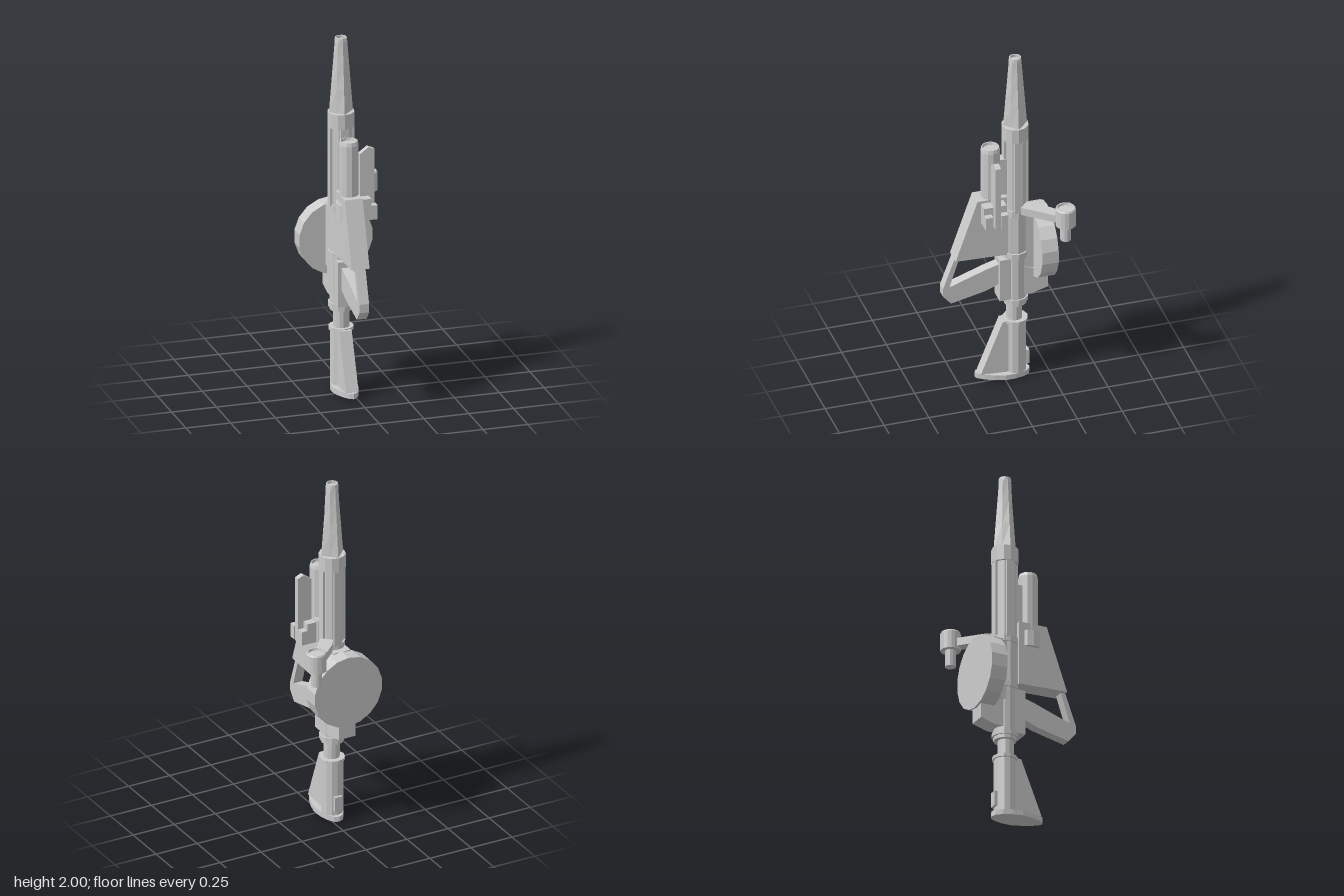
import * as THREE from 'three';

const grey = new THREE.MeshStandardMaterial({ color: 0xcccccc, flatShading: true, side: THREE.DoubleSide });
const CX = -0.033; // shared centre plane
const BZ = -0.07;  // barrel axis
const SZ = 0.068;  // scope axis

export function createModel() {
  const model = new THREE.Group();
  const add = (name, geo, x = 0, y = 0, z = 0) => {
    const mesh = new THREE.Mesh(geo, grey);
    mesh.name = name;
    mesh.position.set(x, y, z);
    model.add(mesh);
    return mesh;
  };
  const box = (name, x0, x1, y0, y1, z0, z1) =>
    add(name, new THREE.BoxGeometry(x1 - x0, y1 - y0, z1 - z0), (x0 + x1) / 2, (y0 + y1) / 2, (z0 + z1) / 2);
  const tube = (name, y0, y1, r, z = BZ, n = 12, x = CX) =>
    add(name, new THREE.CylinderGeometry(r, r, y1 - y0, n), x, (y0 + y1) / 2, z);
  const lathe = (name, pts, n, x, z) =>
    add(name, new THREE.LatheGeometry(pts.map(p => new THREE.Vector2(...p)), n), x, 0, z);
  // Side plate: outline given as (z, y), with its thickness along x
  const plate = (name, pts, width, x = CX) => {
    const shape = new THREE.Shape(pts.map(p => new THREE.Vector2(...p)));
    const geo = new THREE.ExtrudeGeometry(shape, { depth: width, bevelEnabled: false });
    geo.translate(0, 0, -width / 2).rotateY(-Math.PI / 2);
    return add(name, geo, x);
  };

  // Muzzle: diamond base blending to an octagonal tip
  const cone = new THREE.CylinderGeometry(0.035, 0.067, 0.4, 8, 3, true);
  const p = cone.attributes.position;
  for (let i = 0; i < p.count; i++) {
    const x = p.getX(i), z = p.getZ(i);
    const t = 0.5 - p.getY(i) / 0.4;
    const diagonal = Math.abs(Math.abs(x) - Math.abs(z)) < 0.01;
    const s = diagonal ? 1 - 0.28 * t : 1;
    p.setX(i, x * s);
    p.setZ(i, z * s);
  }
  add('muzzle', cone, CX, 1.78, BZ);
  lathe('muzzleTip', [[0.035, 1.98], [0.032, 2], [0.026, 2], [0.026, 1.985], [0, 1.985]], 12, CX, BZ);

  // Barrel with raised ribs and collars
  tube('barrel', 1.04, 1.5, 0.061);
  for (let i = 0; i < 4; i++) {
    const a = i * Math.PI / 2;
    const rib = add('barrelRib', new THREE.BoxGeometry(0.045, 0.45, 0.03),
      CX + Math.sin(a) * 0.053, 1.275, BZ + Math.cos(a) * 0.053);
    rib.rotation.y = a;
  }
  tube('barrelCollar', 1.495, 1.58, 0.073);
  tube('barrelBase', 1.02, 1.06, 0.069);

  // Receiver
  tube('receiver', 0.78, 1.03, 0.064, BZ, 8);
  tube('receiverCollar', 0.755, 0.79, 0.071);
  tube('lowerReceiver', 0.5, 0.76, 0.062);
  box('triggerHousing', -0.08, 0.014, 0.5, 0.755, -0.06, 0.03);
  box('receiverSpine', -0.07, 0.004, 0.79, 1.03, -0.1, 0.01);
  tube('rearCollar', 0.475, 0.5, 0.071);
  tube('rearRing', 0.455, 0.475, 0.062);

  // Hand grip block and the guard loop beneath it
  plate('gripBlock', [[-0.01, 1.155], [0.155, 1.155], [0.277, 0.8], [-0.01, 0.79]], 0.1);
  plate('guardLoop', [[0.277, 0.8], [0.34, 0.625], [0.34, 0.577], [0.296, 0.525], [0.106, 0.567], [0.02, 0.6],
    [0.02, 0.725], [0.106, 0.70], [0.305, 0.63], [0.25, 0.8]], 0.055);

  // Scope tube with a recessed end, on a base ring
  lathe('scope', [[0, 1.02], [0.053, 1.02], [0.053, 1.44], [0.048, 1.46], [0.043, 1.46], [0.04, 1.445], [0, 1.445]], 12, CX, SZ);
  tube('scopeRing', 1.02, 1.11, 0.071, SZ);
  box('scopeMount', -0.06, -0.006, 1.16, 1.38, -0.02, 0.03);

  // Side bracket carrying an upright fin
  box('bracketBase', 0.01, 0.072, 1.02, 1.14, 0.01, 0.135);
  for (const z of [0.03, 0.115]) box('bracketCheek', 0.07, 0.107, 1.02, 1.1, z - 0.02, z + 0.02);
  const fin = new THREE.Shape([[0.025, 1.02], [0.107, 1.02], [0.107, 1.4], [0.072, 1.415], [0.025, 1.38]]
    .map(q => new THREE.Vector2(...q)));
  add('bracketFin', new THREE.ExtrudeGeometry(fin, { depth: 0.03, bevelEnabled: false }), 0, 0, 0.053);

  // Drum behind the receiver, with mount and lower block
  const drum = new THREE.CylinderGeometry(0.206, 0.206, 0.092, 18);
  drum.rotateX(Math.PI / 2);
  add('drum', drum, CX, 0.825, -0.204);
  box('drumMount', -0.09, 0.012, 0.68, 1.03, -0.17, -0.08);
  plate('drumLowerBlock', [[-0.09, 0.52], [-0.15, 0.52], [-0.238, 0.545], [-0.238, 0.65], [-0.09, 0.7]], 0.1);

  // Sight on a diagonal arm
  const arm = new THREE.Shape([[-0.03, -0.09], [0.045, -0.08], [0.2, -0.265], [0.165, -0.305], [0.02, -0.17]]
    .map(q => new THREE.Vector2(...q)));
  const armGeo = new THREE.ExtrudeGeometry(arm, { depth: 0.045, bevelEnabled: false });
  add('sightArm', armGeo.rotateX(Math.PI / 2), 0, 1.09, 0);
  lathe('sightHead', [[0, 1.03], [0.055, 1.03], [0.055, 1.13], [0.05, 1.138], [0.044, 1.138], [0.042, 1.125], [0, 1.125]], 16, 0.182, -0.285);
  tube('sightStem', 0.937, 1.035, 0.03, -0.285, 12, 0.182);

  // Shoulder stock
  tube('stockTube', 0.35, 0.46, 0.044, -0.065);
  tube('stockBody', 0.03, 0.35, 0.06);
  tube('stockLip', 0.342, 0.36, 0.069);
  plate('stockFin', [[-0.06, 0.355], [0.01, 0.355], [0.132, 0.045], [-0.06, 0.03]], 0.07);
  box('stockLatch', -0.055, -0.011, 0.06, 0.145, -0.143, -0.1);
  // Butt plate: rounded outline in plan, sheared so it slopes along z
  const butt = new THREE.CylinderGeometry(1, 1, 0.03, 16);
  const b = butt.attributes.position;
  for (let i = 0; i < b.count; i++) {
    const z = b.getZ(i) * 0.153;
    const w = z > 0 ? 0.07 - 0.13 * z : 0.07;
    b.setXYZ(i, b.getX(i) * w, b.getY(i) + 0.06 * z, z);
  }
  add('buttPlate', butt, CX, 0.0245, 0.003);

  return model;
}
